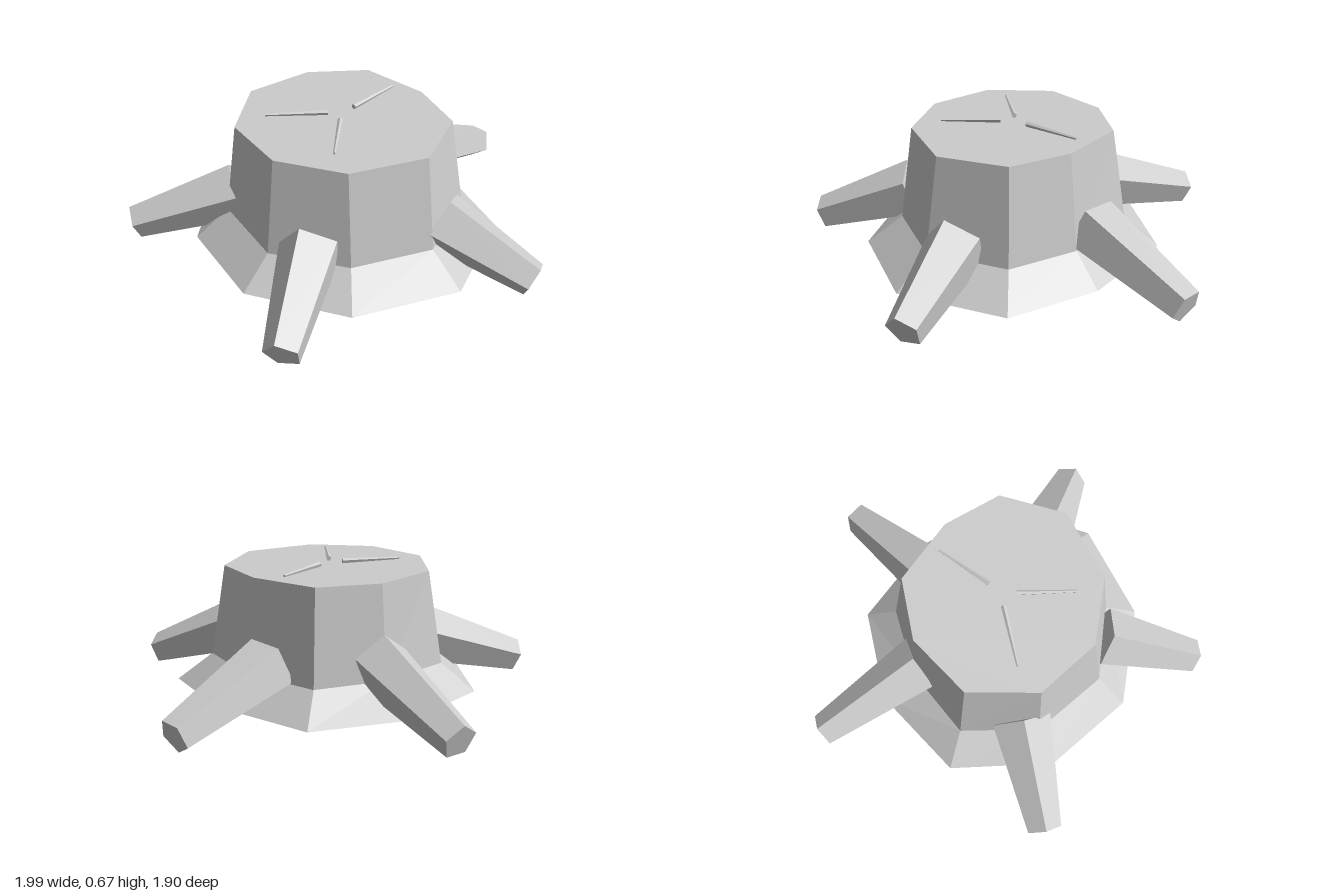
import * as THREE from 'three';

const wood = new THREE.MeshStandardMaterial({ color: 0xcccccc, flatShading: true });
wood.name = 'grey wood';

// Closed solid through stacked rings of [x, z] corners, listed bottom to top
function loft(rings, heights) {
  const pos = [];
  const n = rings[0].length;
  const put = (r, i) => pos.push(rings[r][i % n][0], heights[r], rings[r][i % n][1]);
  const last = rings.length - 1;
  for (let r = 0; r < last; r++) {
    for (let i = 0; i < n; i++) {
      put(r, i + 1); put(r, i); put(r + 1, i);
      put(r, i + 1); put(r + 1, i); put(r + 1, i + 1);
    }
  }
  for (let i = 1; i < n - 1; i++) {
    put(0, 0); put(0, i); put(0, i + 1);
    put(last, 0); put(last, i + 1); put(last, i);
  }
  const g = new THREE.BufferGeometry();
  g.setAttribute('position', new THREE.Float32BufferAttribute(pos, 3));
  g.computeVertexNormals();
  return g;
}

// Tapered prism between two points, rolled about its own axis
function taperedBar(name, from, to, rFrom, rTo, sides, rollDegrees = 0) {
  const a = new THREE.Vector3(...from);
  const b = new THREE.Vector3(...to);
  const axis = b.clone().sub(a);
  const length = axis.length();
  axis.normalize();
  const side = new THREE.Vector3().crossVectors(axis, new THREE.Vector3(0, 1, 0)).normalize();
  const up = new THREE.Vector3().crossVectors(side, axis);
  const g = new THREE.CylinderGeometry(rTo, rFrom, length, sides, 1, false,
    THREE.MathUtils.degToRad(rollDegrees));
  const mesh = new THREE.Mesh(g, wood);
  mesh.quaternion.setFromRotationMatrix(new THREE.Matrix4().makeBasis(side, axis, up));
  mesh.position.addVectors(a, b).multiplyScalar(0.5);
  mesh.name = name;
  return mesh;
}

export function createModel() {
  const model = new THREE.Group();
  model.name = 'treeStump';

  // Nine-sided trunk with a flared foot
  const foot = [[0, -0.6], [0.445, -0.46], [0.65, 0.01], [0.65, 0.455], [0.25, 0.8],
    [-0.26, 0.76], [-0.64, 0.43], [-0.72, -0.04], [-0.48, -0.49]];
  const waist = [[0, -0.42], [0.335, -0.335], [0.495, 0.03], [0.495, 0.37], [0.195, 0.63],
    [-0.195, 0.6], [-0.495, 0.36], [-0.56, -0.03], [-0.37, -0.365]];
  const rim = [[0, -0.38], [0.29, -0.28], [0.43, 0.03], [0.43, 0.33], [0.185, 0.555],
    [-0.18, 0.53], [-0.435, 0.31], [-0.5, -0.015], [-0.325, -0.305]];
  const trunk = new THREE.Mesh(loft([foot, waist, rim], [0.06, 0.19, 0.64]), wood);
  trunk.name = 'trunk';
  model.add(trunk);

  // Five pentagonal roots: name, start, tip, roll
  const roots = [
    ['backRoot', [0, 0.265, -0.36], [0, 0.088, -0.935], 0],
    ['leftRoot', [0.42, 0.25, -0.09], [0.96, 0.08, -0.235], 33],
    ['rightRoot', [-0.48, 0.245, -0.09], [-0.965, 0.088, -0.25], 0],
    ['frontLeftRoot', [0.29, 0.255, 0.52], [0.572, 0.087, 0.885], 12],
    ['frontRightRoot', [-0.33, 0.255, 0.475], [-0.618, 0.087, 0.868], 16],
  ];
  for (const [name, from, to, roll] of roots) {
    model.add(taperedBar(name, from, to, 0.147, 0.085, 5, roll));
  }

  // Three thin splinters on the cut top
  const splinters = [
    [[-0.07, 0.653, 0.05], [-0.345, 0.652, -0.043]],
    [[0.06, 0.653, 0.05], [0.32, 0.652, -0.062]],
    [[-0.045, 0.653, 0.135], [-0.18, 0.652, 0.38]],
  ];
  splinters.forEach(([from, to], i) => {
    model.add(taperedBar(`splinter${i + 1}`, from, to, 0.013, 0.006, 5));
  });

  return model;
}
